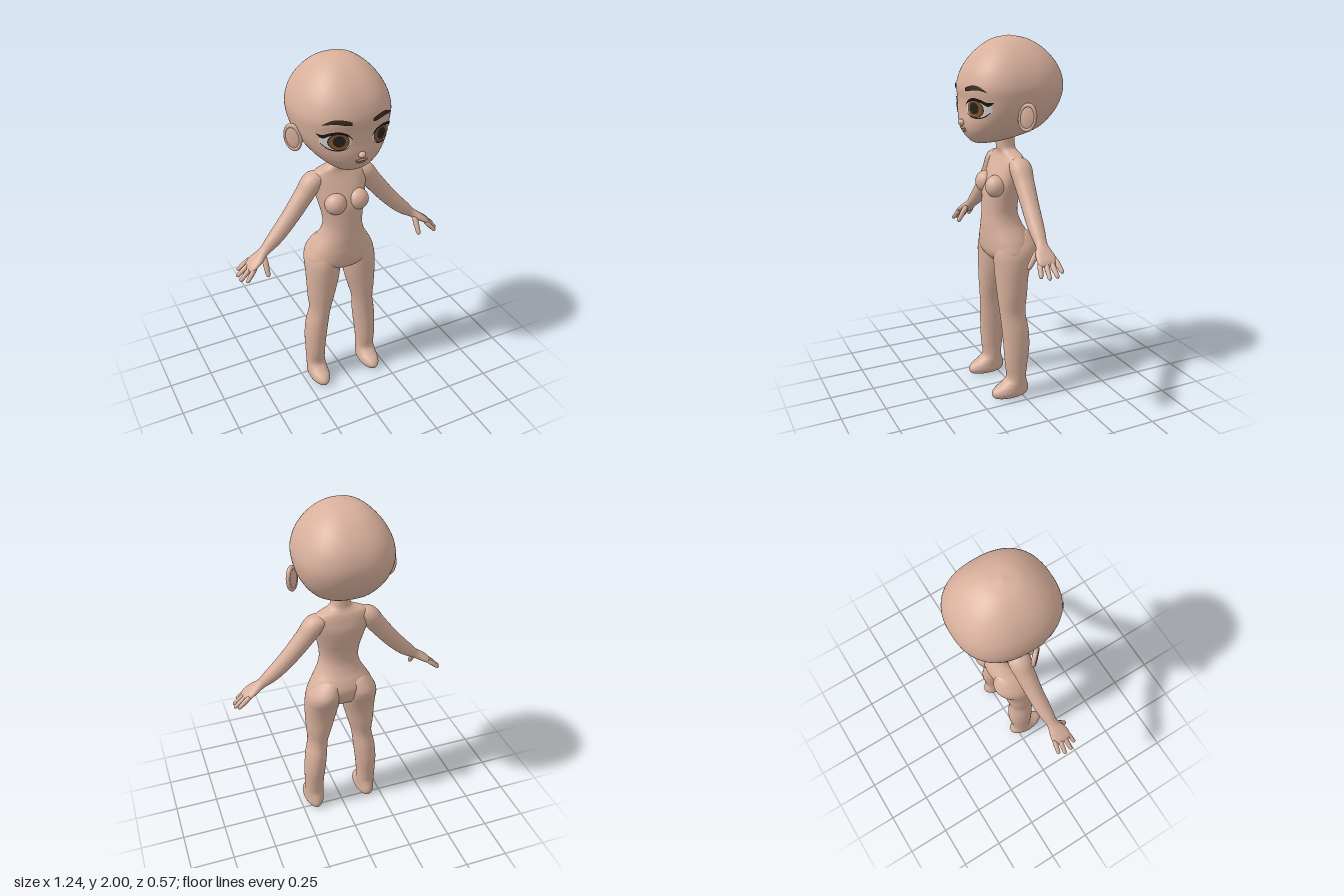
import * as THREE from 'three';

const paint = (color) => new THREE.MeshStandardMaterial({ color });

// Smooth rows of numbers with a Catmull-Rom spline, k steps per span
function smooth(rows, k = 6) {
  const out = [], last = rows.length - 1;
  for (let i = 0; i < last; i++) {
    const a = rows[Math.max(i - 1, 0)], b = rows[i], c = rows[i + 1], d = rows[Math.min(i + 2, last)];
    for (let s = 0; s < k; s++) {
      const t = s / k;
      out.push(b.map((v, j) => {
        const cubic = 3 * (v - c[j]) + d[j] - a[j];
        const square = 2 * a[j] - 5 * v + 4 * c[j] - d[j];
        return v + 0.5 * t * (c[j] - a[j] + t * (square + t * cubic));
      }));
    }
  }
  out.push(rows[last]);
  return out;
}

// Closed skin over rings of equal length, with a fan at each end
function skin(rings) {
  const n = rings[0].length, m = rings.length, index = [];
  const centre = (ring) => ring.reduce((s, p) => s.add(p), new THREE.Vector3()).divideScalar(n);
  const points = [...rings.flat(), centre(rings[0]), centre(rings[m - 1])];
  for (let j = 0; j < n; j++) {
    const k = (j + 1) % n;
    for (let i = 0; i < m - 1; i++) {
      const a = i * n + j, b = i * n + k;
      index.push(a, a + n, b, b, a + n, b + n);
    }
    index.push(m * n, j, k, m * n + 1, (m - 1) * n + k, (m - 1) * n + j);
  }
  const geo = new THREE.BufferGeometry().setFromPoints(points);
  geo.setIndex(index);
  geo.computeVertexNormals();
  return geo;
}

// Horizontal sections, bottom to top: [y, centre x, half width, front z, back z]
function stack(rows, power = 2, n = 40) {
  const curve = (v) => Math.sign(v) * Math.abs(v) ** (2 / power);
  return skin(smooth(rows).map(([y, x, rx, zf, zb]) => Array.from({ length: n }, (_, j) => {
    const a = (j / n) * Math.PI * 2;
    return new THREE.Vector3(x + rx * curve(Math.cos(a)), y,
      (zf + zb) / 2 + ((zf - zb) / 2) * curve(Math.sin(a)));
  })));
}

// Sections across a path: [x, y, z, thickness radius, depth radius]
function limb(rows, n = 24) {
  const fine = smooth(rows), pos = fine.map((r) => new THREE.Vector3(r[0], r[1], r[2]));
  return skin(fine.map((r, i) => {
    const t = pos[Math.min(i + 1, pos.length - 1)].clone().sub(pos[Math.max(i - 1, 0)]).normalize();
    const depth = new THREE.Vector3(0, 0, 1).addScaledVector(t, -t.z).normalize();
    const across = t.clone().cross(depth);
    return Array.from({ length: n }, (_, j) => {
      const a = (j / n) * Math.PI * 2;
      return pos[i].clone().addScaledVector(across, r[3] * Math.cos(a)).addScaledVector(depth, r[4] * Math.sin(a));
    });
  }));
}

function ball(x, y, z, rx, ry, rz) {
  return new THREE.SphereGeometry(1, 32, 20).scale(rx, ry, rz).translate(x, y, z);
}

function mirrored(geo) {
  const copy = geo.clone().scale(-1, 1, 1), idx = copy.index.array;
  for (let i = 0; i < idx.length; i += 3) {
    const first = idx[i];
    idx[i] = idx[i + 1];
    idx[i + 1] = first;
  }
  return copy;
}

const HEAD_POWER = 2.4;
const HEAD = [
  [1.447, 0, 0.015, 0.18, 0.14], [1.456, 0, 0.07, 0.208, 0.08], [1.475, 0, 0.113, 0.228, -0.01],
  [1.5, 0, 0.147, 0.246, -0.1], [1.53, 0, 0.177, 0.26, -0.165], [1.57, 0, 0.206, 0.265, -0.208],
  [1.62, 0, 0.232, 0.262, -0.247], [1.68, 0, 0.249, 0.262, -0.275], [1.74, 0, 0.255, 0.268, -0.286],
  [1.8, 0, 0.243, 0.254, -0.277], [1.85, 0, 0.221, 0.23, -0.255], [1.9, 0, 0.187, 0.192, -0.217],
  [1.95, 0, 0.136, 0.137, -0.16], [1.985, 0, 0.076, 0.075, -0.09], [2, 0, 0.006, 0.004, -0.01],
];
const headRows = smooth(HEAD);

// Front surface of the head at a given x, y
function faceZ(x, y) {
  const i = Math.max(1, headRows.findIndex((r) => r[0] >= y));
  const a = headRows[i - 1], b = headRows[i], t = (y - a[0]) / (b[0] - a[0]);
  const [, , rx, zf, zb] = a.map((v, j) => v + (b[j] - v) * t);
  const s = Math.max(0, 1 - Math.abs(x / rx) ** HEAD_POWER) ** (1 / HEAD_POWER);
  return (zf + zb) / 2 + ((zf - zb) / 2) * s;
}

// Lay a flat geometry on the face; place() maps its points to face x, y
function onFace(geo, lift, place) {
  const p = geo.attributes.position;
  for (let i = 0; i < p.count; i++) {
    const [x, y] = place(p.getX(i), p.getY(i));
    p.setXYZ(i, x, y, faceZ(x, y) + lift);
  }
  geo.computeVertexNormals();
  return geo;
}
const disc = (x, y, rx, ry, lift) =>
  onFace(new THREE.RingGeometry(0.001, 1, 40, 6), lift, (u, v) => [x + u * rx, y + v * ry]);
// Ribbon through [x, y, half height] rows, inner end first
function ribbon(rows, lift) {
  const fine = smooth(rows, 8);
  return onFace(new THREE.PlaneGeometry(1, 2, fine.length - 1, 4), lift, (u, v) => {
    const [x, y, h] = fine[Math.round((u + 0.5) * (fine.length - 1))];
    return [x, y + v * h];
  });
}

export function createModel() {
  const model = new THREE.Group();
  const skinTone = paint(0xd8b09c), hair = paint(0x3a2a22), lashTone = paint(0x1c1614);
  const add = (name, geo, mat) => {
    const mesh = new THREE.Mesh(geo, mat);
    mesh.name = name;
    model.add(mesh);
  };
  const pair = (name, geo, mat = skinTone) => {
    add(name + 'Left', geo, mat);
    add(name + 'Right', mirrored(geo), mat);
  };

  // Head, nose and mouth
  add('head', stack(HEAD, HEAD_POWER, 72), skinTone);
  add('nose', ball(0, 1.562, 0.266, 0.02, 0.017, 0.022), skinTone);
  const lip = paint(0xbd9080);
  add('upperLip', ball(0, 1.531, 0.259, 0.034, 0.006, 0.012), lip);
  add('lowerLip', ball(0, 1.519, 0.253, 0.026, 0.007, 0.012), lip);

  // Ears: a thin shell with a raised rim, turned outward
  const placeEar = (geo) => geo.rotateZ(-0.15).rotateY(0.8).translate(0.26, 1.605, 0.015);
  pair('ear', placeEar(new THREE.SphereGeometry(1, 28, 18).scale(0.046, 0.07, 0.014)));
  pair('earRim', placeEar(new THREE.TorusGeometry(1, 0.2, 12, 36).scale(0.041, 0.063, 0.06)));

  // Eyes, lashes and brows
  pair('eyeWhite', disc(0.125, 1.645, 0.07, 0.046, 0.002), paint(0xd9d6d2));
  pair('irisRim', disc(0.116, 1.645, 0.049, 0.046, 0.0035), paint(0x3a2616));
  pair('iris', disc(0.116, 1.645, 0.045, 0.042, 0.005), paint(0x80562f));
  pair('pupil', disc(0.116, 1.648, 0.028, 0.03, 0.0065), paint(0x26211e));
  pair('upperLash', ribbon([[0.053, 1.655, 0.002], [0.075, 1.678, 0.005], [0.115, 1.693, 0.007],
    [0.155, 1.687, 0.008], [0.185, 1.671, 0.01], [0.206, 1.68, 0.002]], 0.008), lashTone);
  pair('lowerLash', ribbon([[0.065, 1.62, 0.001], [0.09, 1.604, 0.002], [0.125, 1.598, 0.003],
    [0.16, 1.605, 0.003], [0.19, 1.63, 0.002]], 0.005), lashTone);
  pair('brow', ribbon([[0.057, 1.738, 0.008], [0.08, 1.743, 0.012], [0.12, 1.751, 0.012],
    [0.155, 1.748, 0.009], [0.188, 1.733, 0.002]], 0.006), hair);

  // Torso and neck
  add('torso', stack([
    [0.77, 0, 0.04, 0.08, -0.02], [0.8, 0, 0.14, 0.118, -0.06], [0.84, 0, 0.198, 0.143, -0.085],
    [0.9, 0, 0.183, 0.15, -0.1], [0.95, 0, 0.155, 0.15, -0.086], [1, 0, 0.126, 0.15, -0.06],
    [1.06, 0, 0.11, 0.147, -0.042], [1.13, 0, 0.116, 0.144, -0.046], [1.2, 0, 0.132, 0.138, -0.063],
    [1.28, 0, 0.15, 0.105, -0.075], [1.34, 0, 0.16, 0.075, -0.065], [1.375, 0, 0.135, 0.06, -0.054],
    [1.396, 0, 0.08, 0.06, -0.042], [1.42, 0, 0.053, 0.066, -0.035], [1.5, 0, 0.05, 0.07, -0.03],
  ], 2.15, 48), skinTone);
  pair('chest', ball(0.066, 1.215, 0.105, 0.06, 0.06, 0.057));

  // Legs with feet
  pair('leg', stack([
    [0, 0.167, 0.03, 0.14, -0.015], [0.01, 0.167, 0.048, 0.168, -0.036], [0.035, 0.167, 0.058, 0.178, -0.045],
    [0.06, 0.167, 0.057, 0.16, -0.042], [0.085, 0.167, 0.056, 0.118, -0.034], [0.12, 0.167, 0.056, 0.086, -0.027],
    [0.2, 0.167, 0.058, 0.094, -0.036], [0.3, 0.162, 0.063, 0.1, -0.05], [0.4, 0.152, 0.064, 0.105, -0.049],
    [0.5, 0.138, 0.06, 0.112, -0.036], [0.6, 0.128, 0.077, 0.12, -0.048], [0.7, 0.117, 0.092, 0.126, -0.058],
    [0.78, 0.11, 0.1, 0.13, -0.082], [0.84, 0.107, 0.099, 0.13, -0.11], [0.89, 0.098, 0.088, 0.12, -0.115],
    [0.95, 0.075, 0.06, 0.08, -0.08], [0.97, 0.07, 0.02, 0.02, -0.03],
  ]));

  // Arms running into flat palms
  pair('arm', limb([
    [0.09, 1.345, 0, 0.025, 0.04], [0.15, 1.322, 0, 0.053, 0.06], [0.205, 1.25, 0.003, 0.052, 0.054],
    [0.285, 1.15, 0.01, 0.048, 0.047], [0.36, 1.068, 0.018, 0.043, 0.043], [0.41, 1.022, 0.024, 0.037, 0.037],
    [0.455, 0.985, 0.03, 0.026, 0.032], [0.5, 0.952, 0.037, 0.022, 0.05], [0.54, 0.925, 0.04, 0.016, 0.054],
    [0.558, 0.911, 0.04, 0.006, 0.04],
  ]));

  // Fingers and thumb: base and tip points
  const digits = {
    littleFinger: [[0.53, 0.935, -0.004], [0.6, 0.878, -0.013]],
    ringFinger: [[0.535, 0.93, 0.024], [0.616, 0.863, 0.022]],
    middleFinger: [[0.535, 0.928, 0.052], [0.612, 0.857, 0.064]],
    indexFinger: [[0.525, 0.93, 0.078], [0.586, 0.862, 0.1]],
    thumb: [[0.466, 0.968, 0.055], [0.468, 0.872, 0.113]],
  };
  for (const [name, [a, b]] of Object.entries(digits)) {
    const r = name === 'thumb' ? 0.014 : 0.012;
    const at = (t, k) => [...a.map((v, i) => v + (b[i] - v) * t), r * k, r * k];
    pair(name, limb([at(0, 0.9), at(0.3, 1.15), at(0.7, 1), at(0.92, 0.8), at(1, 0.2)], 12));
  }
  return model;
}
